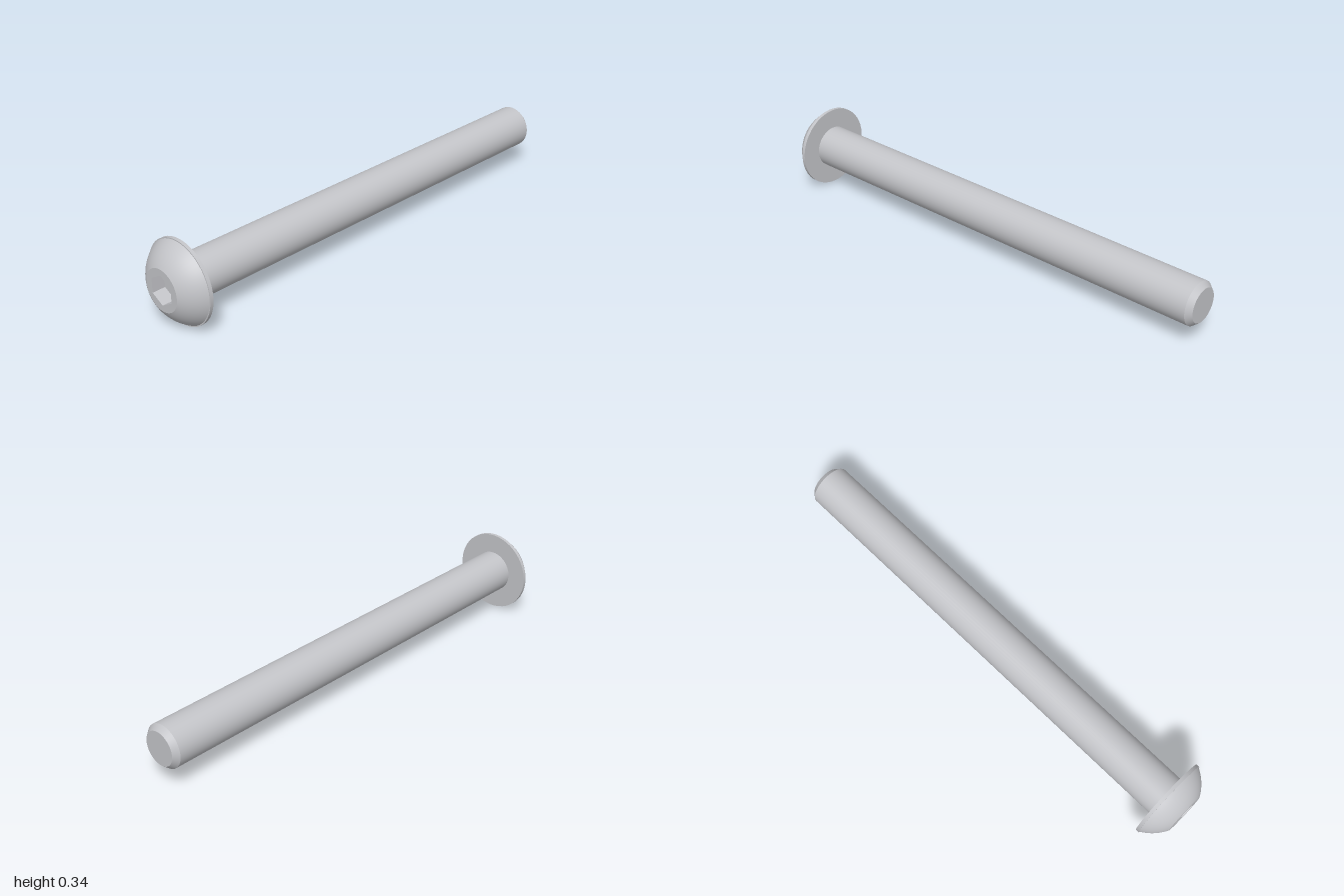
import * as THREE from 'three';

const SIDES = 48;
const HEAD_X = -1, RIM_X = -0.922, SEAT_X = -0.908, CHAMFER_X = 0.978, TIP_X = 1;
const HEAD_R = 0.17, FACE_R = 0.085, SHAFT_R = 0.088, TIP_R = 0.069;
const HEX_R = 0.061, HEX_DEPTH = 0.055;

export function createModel() {
  const steel = new THREE.MeshStandardMaterial({ color: 0xc3c4c8 });
  steel.name = 'steel grey';

  const screw = new THREE.Group();
  screw.name = 'buttonHeadScrew';
  screw.position.y = HEAD_R;

  const add = (name, geometry) => {
    const mesh = new THREE.Mesh(geometry, steel);
    mesh.name = name;
    screw.add(mesh);
  };

  // Surface of revolution about the x axis from [x, radius] points
  const turned = (name, profile) => {
    const points = profile.map(([x, r]) => new THREE.Vector2(r, x));
    add(name, new THREE.LatheGeometry(points, SIDES).rotateZ(-Math.PI / 2));
  };

  // Domed head: circular arc centred on the axis
  const domeR = 0.166, span = RIM_X - HEAD_X;
  const c = (span * span + domeR * domeR - FACE_R * FACE_R) / (2 * span);
  const R = Math.hypot(c, FACE_R);
  const a0 = Math.atan2(FACE_R, c), a1 = Math.atan2(domeR, c - span);
  const dome = [];
  for (let i = 0; i <= 10; i++) {
    const a = a0 + (a1 - a0) * i / 10;
    dome.push([HEAD_X + c - R * Math.cos(a), R * Math.sin(a)]);
  }
  turned('headDome', dome);

  // Separate bands keep the machined edges sharp
  turned('headRimStep', [[RIM_X, domeR], [RIM_X, HEAD_R]]);
  turned('headRim', [[RIM_X, HEAD_R], [SEAT_X, HEAD_R]]);
  turned('headUnderside', [[SEAT_X, HEAD_R], [SEAT_X, SHAFT_R]]);
  turned('shaft', [[SEAT_X, SHAFT_R], [CHAMFER_X, SHAFT_R]]);
  turned('tipChamfer', [[CHAMFER_X, SHAFT_R], [TIP_X, TIP_R]]);
  add('tipFace', new THREE.CircleGeometry(TIP_R, SIDES).rotateY(Math.PI / 2).translate(TIP_X, 0, 0));

  // Flat head face with a hexagonal opening
  const face = new THREE.Shape().absarc(0, 0, FACE_R, 0, Math.PI * 2);
  const hex = [];
  for (let i = 0; i < 6; i++) {
    const a = Math.PI / 2 - i * Math.PI / 3;
    hex.push(new THREE.Vector2(HEX_R * Math.cos(a), HEX_R * Math.sin(a)));
  }
  face.holes.push(new THREE.Path(hex));
  add('headFace', new THREE.ShapeGeometry(face, SIDES / 2).rotateY(-Math.PI / 2).translate(HEAD_X, 0, 0));

  // Hex socket: walls mirrored to face inward, plus a floor
  const walls = new THREE.CylinderGeometry(HEX_R, HEX_R, HEX_DEPTH, 6, 1, true)
    .rotateY(Math.PI / 6).scale(1, 1, -1).rotateZ(-Math.PI / 2)
    .translate(HEAD_X + HEX_DEPTH / 2, 0, 0).toNonIndexed();
  walls.computeVertexNormals();
  add('socketWalls', walls);
  add('socketFloor', new THREE.CircleGeometry(HEX_R, 6, Math.PI / 2)
    .rotateY(-Math.PI / 2).translate(HEAD_X + HEX_DEPTH, 0, 0));

  const model = new THREE.Group();
  model.name = 'screwModel';
  model.add(screw);
  return model;
}
